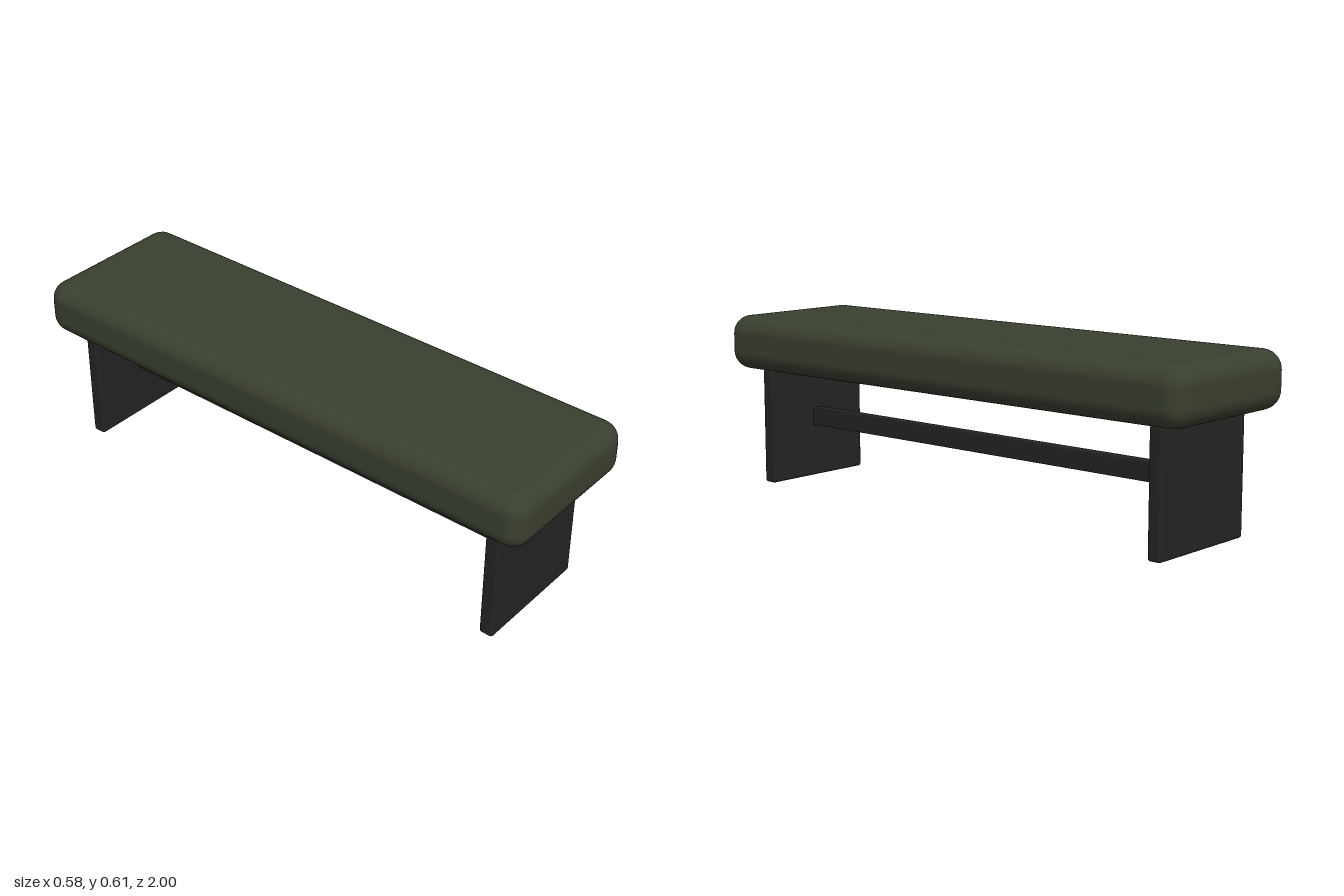
import * as THREE from 'three';
import { RoundedBoxGeometry } from 'three/addons/geometries/RoundedBoxGeometry.js';

export function createModel() {
  const upholstery = new THREE.MeshStandardMaterial({ color: 0x3a4030 });
  upholstery.name = 'dark olive upholstery';
  const frame = new THREE.MeshStandardMaterial({ color: 0x242424 });
  frame.name = 'charcoal frame';

  const bench = new THREE.Group();
  bench.name = 'bench';

  function add(name, geometry, material, y, z = 0) {
    const mesh = new THREE.Mesh(geometry, material);
    mesh.name = name;
    mesh.position.set(0, y, z);
    bench.add(mesh);
  }

  // Padded seat with softly rounded edges
  add('seatCushion', new RoundedBoxGeometry(0.58, 0.193, 2, 4, 0.065), upholstery, 0.5115);

  // Panel legs at both ends
  const panel = new RoundedBoxGeometry(0.44, 0.415, 0.05, 2, 0.01);
  add('frontLeg', panel, frame, 0.2075, 0.863);
  add('backLeg', panel, frame, 0.2075, -0.863);

  // Stretcher joining the legs
  add('stretcher', new RoundedBoxGeometry(0.045, 0.065, 1.68, 2, 0.004), frame, 0.2225);

  return bench;
}
